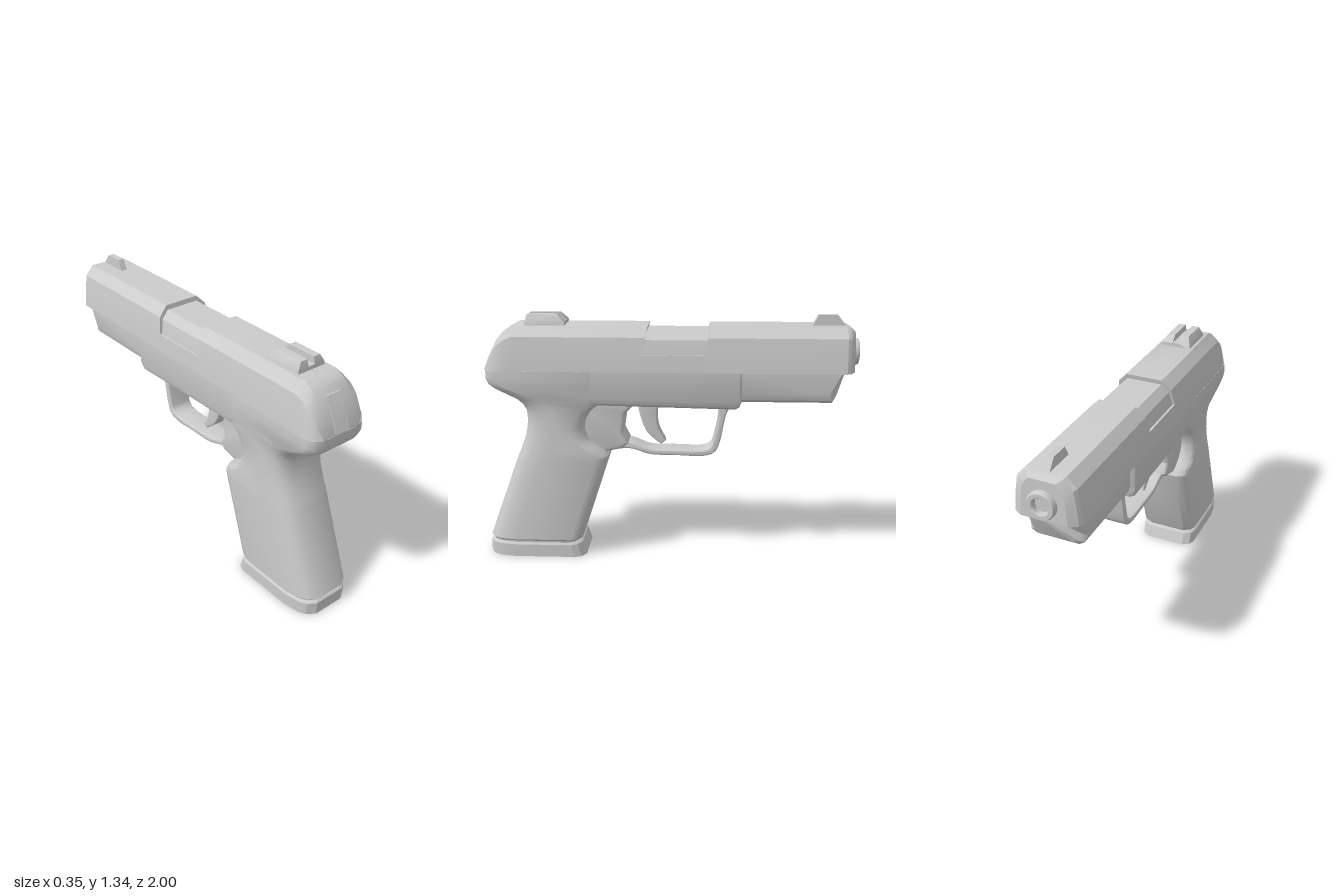
import * as THREE from 'three';
import { toCreasedNormals } from 'three/addons/utils/BufferGeometryUtils.js';

const grey = new THREE.MeshStandardMaterial({ color: 0xcccccc });

function addMesh(group, name, geometry, crease = 0.55) {
  const mesh = new THREE.Mesh(toCreasedNormals(geometry, crease), grey);
  mesh.name = name;
  group.add(mesh);
  return mesh;
}

// Closed skin through matching rings of [x, y, z]; faces are turned outward
function loft(rings) {
  const tris = [];
  const n = rings[0].length;
  for (let i = 0; i + 1 < rings.length; i++) {
    for (let j = 0; j < n; j++) {
      const k = (j + 1) % n;
      const [a, b, c, d] = [rings[i][j], rings[i][k], rings[i + 1][k], rings[i + 1][j]];
      tris.push([a, b, c], [a, c, d]);
    }
  }
  const first = rings[0], last = rings[rings.length - 1];
  for (let j = 1; j + 1 < n; j++) {
    tris.push([first[0], first[j + 1], first[j]], [last[0], last[j], last[j + 1]]);
  }
  let volume = 0;
  for (const [a, b, c] of tris) {
    volume += a[0] * (b[1] * c[2] - b[2] * c[1]) + a[1] * (b[2] * c[0] - b[0] * c[2]) + a[2] * (b[0] * c[1] - b[1] * c[0]);
  }
  if (volume < 0) tris.forEach((t) => t.reverse());
  const geometry = new THREE.BufferGeometry();
  geometry.setAttribute('position', new THREE.Float32BufferAttribute(tris.flat(2), 3));
  return geometry;
}

// Right half of a ring plus its mirror image
const mirror = (half) => [...half, ...half.slice().reverse().map(([x, y, z]) => [-x, y, z])];

// Side outline of [z, y] points, extruded across x
function sidePlate(points, halfWidth, bevel) {
  const shape = new THREE.Shape(points.map(([z, y]) => new THREE.Vector2(z, y)));
  const depth = 2 * (halfWidth - bevel);
  const geometry = new THREE.ExtrudeGeometry(shape, {
    depth, bevelEnabled: bevel > 0, bevelSize: bevel, bevelThickness: bevel, bevelOffset: -bevel, bevelSegments: 3,
  });
  return geometry.translate(0, 0, -depth / 2).rotateY(-Math.PI / 2);
}

// Smooth curve through a few [z, y] points
const smooth = (points, count = 20) => new THREE.SplineCurve(points.map((p) => new THREE.Vector2(...p)))
  .getPoints(count).map((p) => [p.x, p.y]);

// Slide ring: sloped flanks and chamfered top; shear leans the ring in z
function slideRing(z, top, w, shear = 0) {
  const h = top - 1.05;
  return mirror([[w, 0], [w * 0.955, 0.39], [w * 0.87, 0.78], [w * 0.58, 1]].map(([x, t]) => {
    const y = 1.05 + h * t;
    return [x, y, z + (top - y) * shear];
  }));
}

// Horizontal grip ring: chamfered front, rounded back
function gripRing(y, front, back, w = 0.168, r = 0.15) {
  return mirror([
    [w - 0.055, y, front], [w - 0.015, y, front + 0.025], [w, y, front + 0.06],
    [w, y, back - r], [w - 0.015, y, back - 0.45 * r], [w - 0.035, y, back - 0.2 * r], [w - 0.08, y, back],
  ]);
}

export function createModel() {
  const model = new THREE.Group();
  model.name = 'pistol';

  // Slide, split by the ejection port
  const slide = new THREE.Group();
  slide.name = 'slide';
  model.add(slide);
  addMesh(slide, 'slideRear', loft([
    slideRing(0.11, 1.28, 0.172, 0.22), slideRing(0.82, 1.28, 0.172), slideRing(0.87, 1.252, 0.172),
    slideRing(0.91, 1.205, 0.17), slideRing(0.95, 1.13, 0.158), slideRing(0.978, 1.055, 0.125),
  ]));
  addMesh(slide, 'slideFront', loft([
    slideRing(-0.215, 1.28, 0.172, 0.2), slideRing(-0.925, 1.28, 0.172),
    slideRing(-0.945, 1.275, 0.16), slideRing(-0.97, 1.258, 0.118),
  ]), 0.4);
  addMesh(slide, 'portSill', loft([0.17, -0.2].map((z) => mirror([[0.172, 1.05, z], [0.164, 1.14, z]]))));
  addMesh(slide, 'barrelHood', loft([0.2, -0.27].map((z) => mirror([
    [0.156, 1.1, z], [0.152, 1.14, z], [0.136, 1.215, z], [0.095, 1.255, z],
  ]))));
  addMesh(slide, 'rearPanel', sidePlate([
    [0.86, 1.22], [0.904, 1.22], [0.93, 1.175], [0.954, 1.13], [0.982, 1.055], [0.9, 1.055],
  ], 0.045, 0));

  // Muzzle with an open bore
  const muzzle = addMesh(model, 'muzzle', new THREE.LatheGeometry([
    [0.072, 0], [0.072, 0.09], [0.066, 0.1], [0.046, 0.1], [0.04, 0.094], [0.04, 0.02], [0, 0.02],
  ].map((p) => new THREE.Vector2(...p)), 32));
  muzzle.rotation.x = -Math.PI / 2;
  muzzle.position.set(0, 1.14, -0.9);

  // Sights
  const notch = new THREE.Shape([
    [-0.085, 1.27], [0.085, 1.27], [0.083, 1.295], [0.06, 1.335], [0.02, 1.335],
    [0.02, 1.3], [-0.02, 1.3], [-0.02, 1.335], [-0.06, 1.335], [-0.083, 1.295],
  ].map((p) => new THREE.Vector2(...p)));
  const rearSight = new THREE.ExtrudeGeometry(notch, { depth: 0.21, bevelEnabled: false }).translate(0, 0, 0.55);
  const pos = rearSight.attributes.position;
  for (let i = 0; i < pos.count; i++) {
    if (pos.getY(i) > 1.32) pos.setZ(i, pos.getZ(i) < 0.6 ? 0.59 : 0.75);
  }
  addMesh(model, 'rearSight', rearSight);
  addMesh(model, 'frontSight', sidePlate([[-0.75, 1.27], [-0.785, 1.335], [-0.885, 1.335], [-0.935, 1.27]], 0.018, 0));

  // Frame under the slide
  const frameRing = (z, bottom, w) => mirror([
    [w, 1.05, z], [w, bottom + 0.045, z], [w - 0.012, bottom + 0.015, z], [w - 0.04, bottom, z],
  ]);
  addMesh(model, 'frame', loft([
    frameRing(0.7, 0.865, 0.171), frameRing(0.36, 0.862, 0.171), frameRing(-0.355, 0.848, 0.171),
    frameRing(-0.375, 0.86, 0.168), frameRing(-0.385, 0.88, 0.155),
  ]));
  addMesh(model, 'dustCover', loft([[-0.37, -0.37, 0.885, 0.15], [-0.905, -0.86, 0.885, 0.15],
    [-0.92, -0.88, 0.905, 0.125]].map(([zTop, zLow, y, w]) => mirror([
    [w, 1.055, zTop], [w, y + 0.05, zLow - (zLow - zTop) * -0.35], [w - 0.012, y + 0.017, zLow], [w - 0.04, y, zLow],
  ]))));

  // Grip sweeping up into the tang
  addMesh(model, 'grip', loft([
    gripRing(0.09, 0.487, 0.993, 0.16), gripRing(0.1, 0.48, 0.998), gripRing(0.545, 0.333, 0.832),
    gripRing(0.575, 0.328, 0.82), gripRing(0.605, 0.35, 0.806), gripRing(0.64, 0.405, 0.793),
    gripRing(0.68, 0.44, 0.778), gripRing(0.73, 0.455, 0.767), gripRing(0.78, 0.447, 0.763),
    gripRing(0.825, 0.42, 0.768), gripRing(0.855, 0.385, 0.785), gripRing(0.885, 0.36, 0.82),
    gripRing(0.915, 0.36, 0.875, 0.17, 0.12), gripRing(0.95, 0.36, 0.94, 0.172, 0.09),
    gripRing(0.975, 0.36, 0.968, 0.174, 0.07), gripRing(1.005, 0.36, 0.98, 0.175, 0.06),
    gripRing(1.05, 0.36, 0.98, 0.173, 0.06),
  ]), 0.65);

  // Magazine neck and hollow base plate
  addMesh(model, 'magazineNeck', loft([gripRing(0.06, 0.5, 0.985, 0.158), gripRing(0.1, 0.5, 0.985, 0.158)]));
  addMesh(model, 'magazineBase', loft([
    gripRing(0.08, 0.49, 0.99, 0.16), gripRing(0.07, 0.48, 1, 0.168), gripRing(0, 0.458, 1, 0.168),
    gripRing(0, 0.485, 0.975, 0.146), gripRing(0.045, 0.5, 0.965, 0.14),
  ]), 0.4);

  // Trigger, its housing and the guard
  addMesh(model, 'triggerHousing', sidePlate([
    [0.5, 0.88], [0.18, 0.88], [0.19, 0.85], [0.235, 0.805], [0.25, 0.7], [0.22, 0.64],
    [0.25, 0.612], [0.34, 0.59], [0.5, 0.6],
  ], 0.09, 0.02));
  addMesh(model, 'trigger', sidePlate([
    ...smooth([[0.175, 0.87], [0.157, 0.78], [0.12, 0.69], [0.045, 0.625]].reverse()),
    ...smooth([[0.06, 0.87], [0.066, 0.78], [0.055, 0.71], [0.02, 0.642]]),
  ], 0.04, 0.008));
  addMesh(model, 'triggerGuard', sidePlate([
    ...smooth([[0.34, 0.587], [0.22, 0.605], [0.1, 0.572], [-0.05, 0.568], [-0.18, 0.565],
      [-0.25, 0.59], [-0.28, 0.66], [-0.308, 0.8], [-0.345, 0.86]], 36),
    ...smooth([[-0.25, 0.86], [-0.268, 0.8], [-0.243, 0.66], [-0.222, 0.615], [-0.17, 0.597],
      [-0.05, 0.598], [0.1, 0.602], [0.22, 0.642], [0.34, 0.64]], 36),
  ], 0.065, 0.008));

  return model;
}
